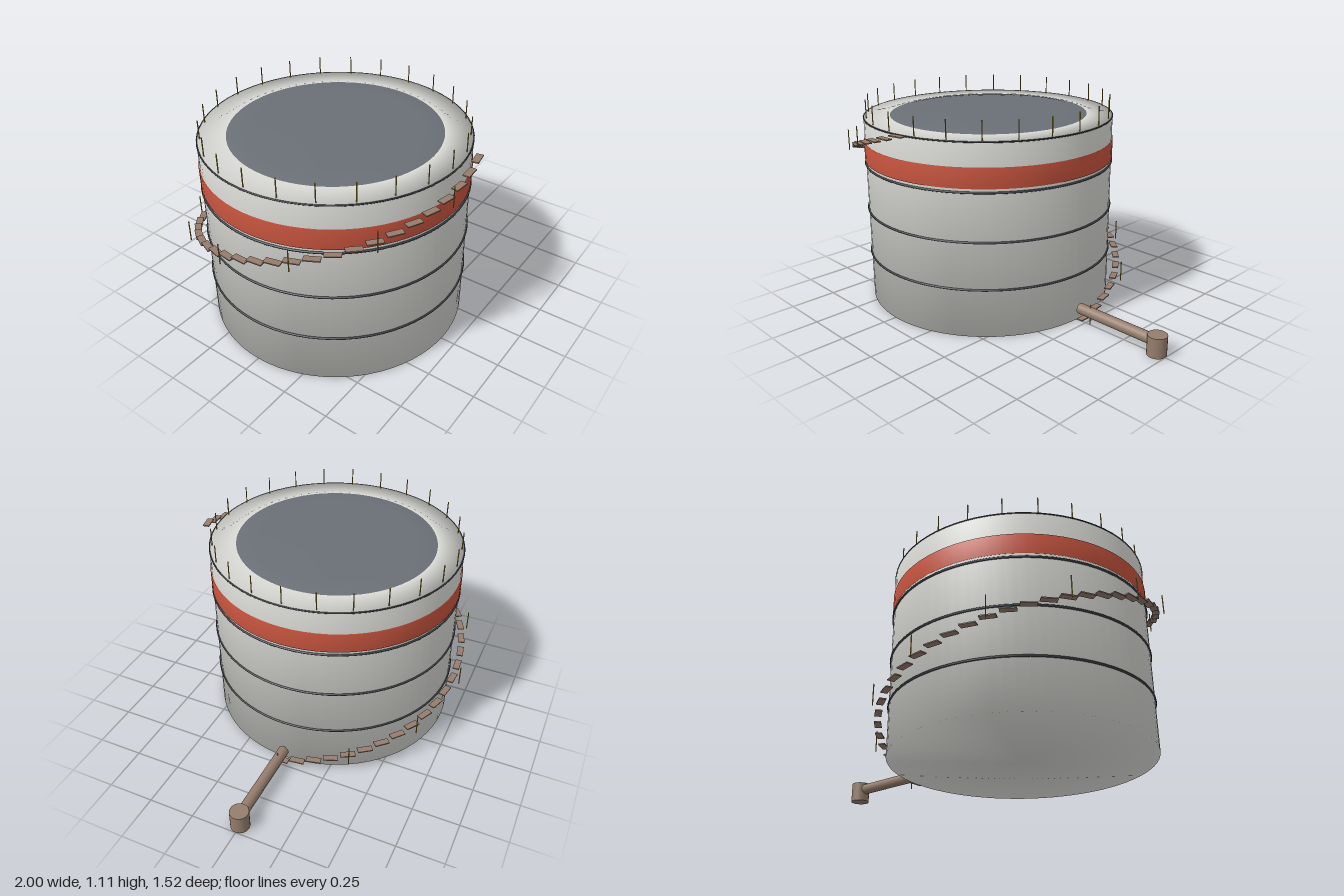
import * as THREE from 'three';

const mat = (name, color, double) => {
  const m = new THREE.MeshStandardMaterial({ color });
  m.name = name;
  if (double) m.side = THREE.DoubleSide;
  return m;
};

export function createModel() {
  const white = mat('white shell', 0xdcdcd8, true);
  const grey = mat('grey roof', 0x6a7076, true);
  const dark = mat('dark seam', 0x3a3f43);
  const red = mat('red band', 0xc9553f, true);
  const tan = mat('tan metal', 0x957d6d);
  const gold = mat('gold rail', 0xae8f30);

  const model = new THREE.Group();
  model.name = 'storageTank';
  const tank = new THREE.Group();
  tank.name = 'tank';
  tank.position.x = -0.235;
  model.add(tank);

  const add = (parent, name, geometry, material, x = 0, y = 0, z = 0) => {
    const mesh = new THREE.Mesh(geometry, material);
    mesh.name = name;
    mesh.position.set(x, y, z);
    parent.add(mesh);
    return mesh;
  };
  const lathe = (points) =>
    new THREE.LatheGeometry(points.map(([r, y]) => new THREE.Vector2(r, y)), 72);

  // Shell, softly shaded around its rims, and the low domed roof
  add(tank, 'shell', lathe([[0, 0], [0.675, 0], [0.675, 1.015], [0.535, 1.016]]), white);
  add(tank, 'roofDome', lathe([[0.545, 1.013], [0.5, 1.021], [0.43, 1.027], [0, 1.03]]), grey);

  // Painted band
  add(tank, 'band', lathe([[0.67, 0.785], [0.68, 0.785], [0.68, 0.89], [0.67, 0.89]]), red);

  // Seam rings and top rim
  for (const [y, r, tube] of [[0.258, 0.676, 0.006], [0.51, 0.676, 0.006], [0.765, 0.676, 0.006], [1.012, 0.674, 0.004]]) {
    add(tank, 'seamRing', new THREE.TorusGeometry(r, tube, 8, 72), dark, 0, y).rotation.x = Math.PI / 2;
  }

  // Guard posts around the roof
  const roofPost = new THREE.CylinderGeometry(0.003, 0.003, 0.1, 6);
  for (let i = 0; i < 24; i++) {
    const a = (i / 24) * Math.PI * 2;
    add(tank, 'roofPost', roofPost, gold, 0.66 * Math.cos(a), 1.063, 0.66 * Math.sin(a));
  }

  // Spiral stair, climbing from the left side around the back to the front
  const stair = new THREE.Group();
  stair.name = 'spiralStair';
  tank.add(stair);
  const tread = new THREE.BoxGeometry(0.035, 0.006, 0.08);
  const stairPost = new THREE.CylinderGeometry(0.003, 0.003, 0.112, 6);
  for (let i = 0; i < 40; i++) {
    const a = THREE.MathUtils.degToRad(7.2 * i);
    const y = 0.027 + 0.0255 * i;
    const c = Math.cos(a), s = -Math.sin(a);
    add(stair, 'tread', tread, tan, 0.724 * c, y, 0.724 * s).rotation.y = a;
    if (i % 4 === 0) add(stair, 'stairPost', stairPost, gold, 0.765 * c, y + 0.031, 0.765 * s);
  }

  // Outlet pipe and its upright end fitting
  add(model, 'outletPipe', new THREE.CylinderGeometry(0.029, 0.029, 0.49, 24), tan, 0.705, 0.07)
    .rotation.z = Math.PI / 2;
  add(model, 'pipeFitting', new THREE.CylinderGeometry(0.05, 0.05, 0.106, 24), tan, 0.95, 0.053);

  return model;
}
